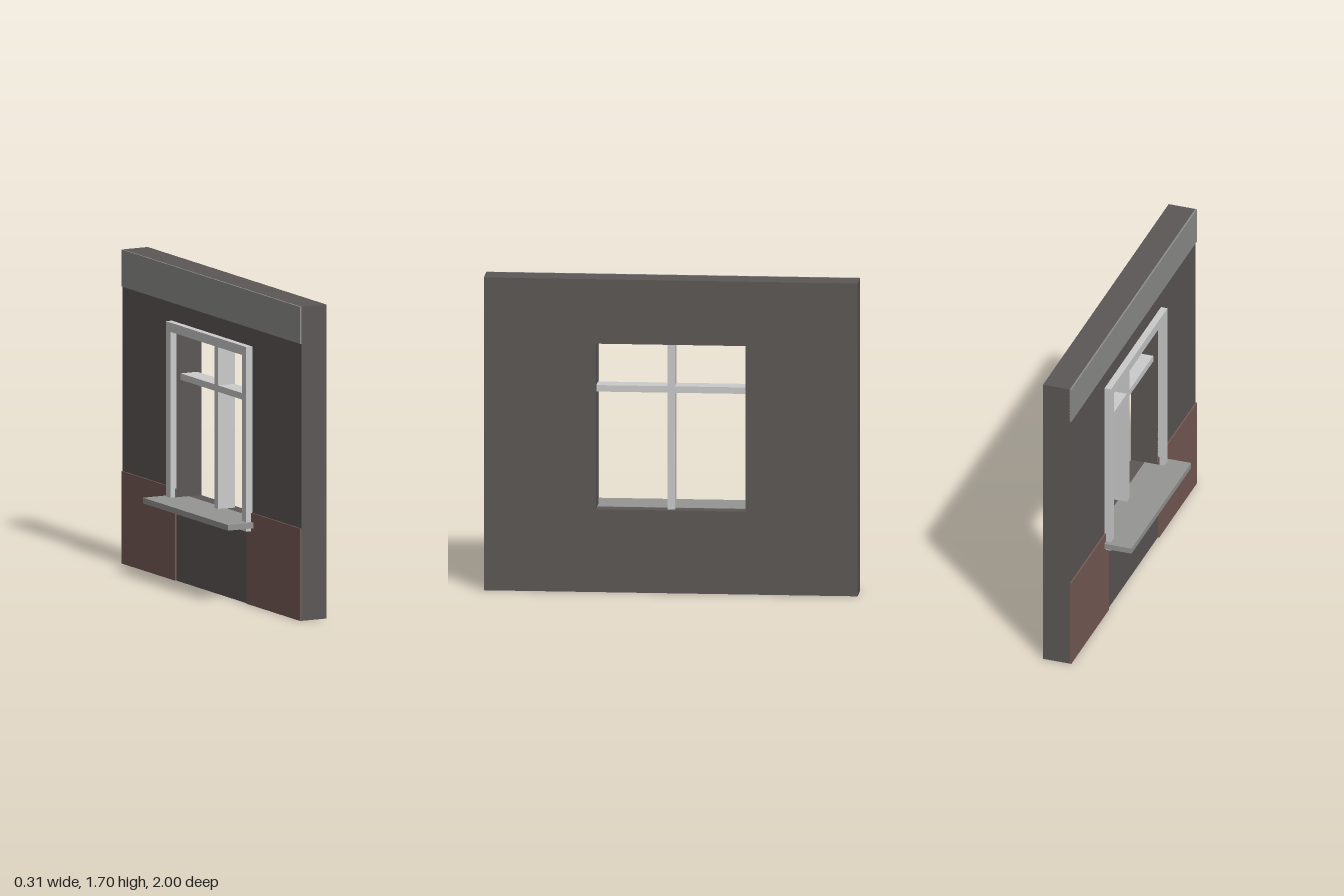
import * as THREE from 'three';

const mat = (color) => new THREE.MeshStandardMaterial({ color });

// Box given by its min/max extents on each axis
function slab(name, material, [x0, x1], [y0, y1], [z0, z1]) {
  const mesh = new THREE.Mesh(new THREE.BoxGeometry(x1 - x0, y1 - y0, z1 - z0), material);
  mesh.position.set((x0 + x1) / 2, (y0 + y1) / 2, (z0 + z1) / 2);
  mesh.name = name;
  return mesh;
}

// Rectangle with a rectangular hole, standing in the zy plane and thick along x
function holedPanel(name, material, [x0, x1], [y0, y1], halfZ, hole) {
  const rect = (Type, hz, a, b) => {
    const s = new Type();
    s.moveTo(-hz, a);
    s.lineTo(hz, a);
    s.lineTo(hz, b);
    s.lineTo(-hz, b);
    s.closePath();
    return s;
  };
  const shape = rect(THREE.Shape, halfZ, y0, y1);
  shape.holes.push(rect(THREE.Path, hole.halfZ, ...hole.y));
  const geo = new THREE.ExtrudeGeometry(shape, { depth: x1 - x0, bevelEnabled: false });
  geo.rotateY(Math.PI / 2);
  const mesh = new THREE.Mesh(geo, material);
  mesh.position.x = x0;
  mesh.name = name;
  return mesh;
}

export function createModel() {
  const group = new THREE.Group();
  group.name = 'windowWall';

  const wallMat = mat(0x5c5856);
  const bandMat = mat(0x8f8f8d);
  const brickMat = mat(0x785c57);
  const frameMat = mat(0xcccccc);
  const sillMat = mat(0x959593);
  const opening = { halfZ: 0.4, y: [0.45, 1.35] };

  // Wall with the window opening
  group.add(holedPanel('wall', wallMat, [0.005, 0.157], [0, 1.7], 1, opening));

  // Raised band along the top of the outer face
  group.add(slab('topBand', bandMat, [-0.003, 0.006], [1.5, 1.7], [-1, 1]));

  // Raised base panels either side of the window
  for (const s of [-1, 1]) {
    const z = [0.4 * s, s].sort((a, b) => a - b);
    group.add(slab('basePanel', brickMat, [-0.003, 0.006], [0, 0.5], z));
  }

  // Window surround, crossing bars and sill
  group.add(holedPanel('windowFrame', frameMat, [-0.032, 0.006], [0.4, 1.4], 0.45, opening));
  group.add(slab('verticalBar', frameMat, [0.03, 0.133], [0.45, 1.35], [-0.02, 0.02]));
  group.add(slab('horizontalBar', frameMat, [0.031, 0.132], [1.085, 1.12], [-0.4, 0.4]));
  group.add(slab('sill', sillMat, [-0.157, 0.08], [0.42, 0.451], [-0.475, 0.475]));

  return group;
}
